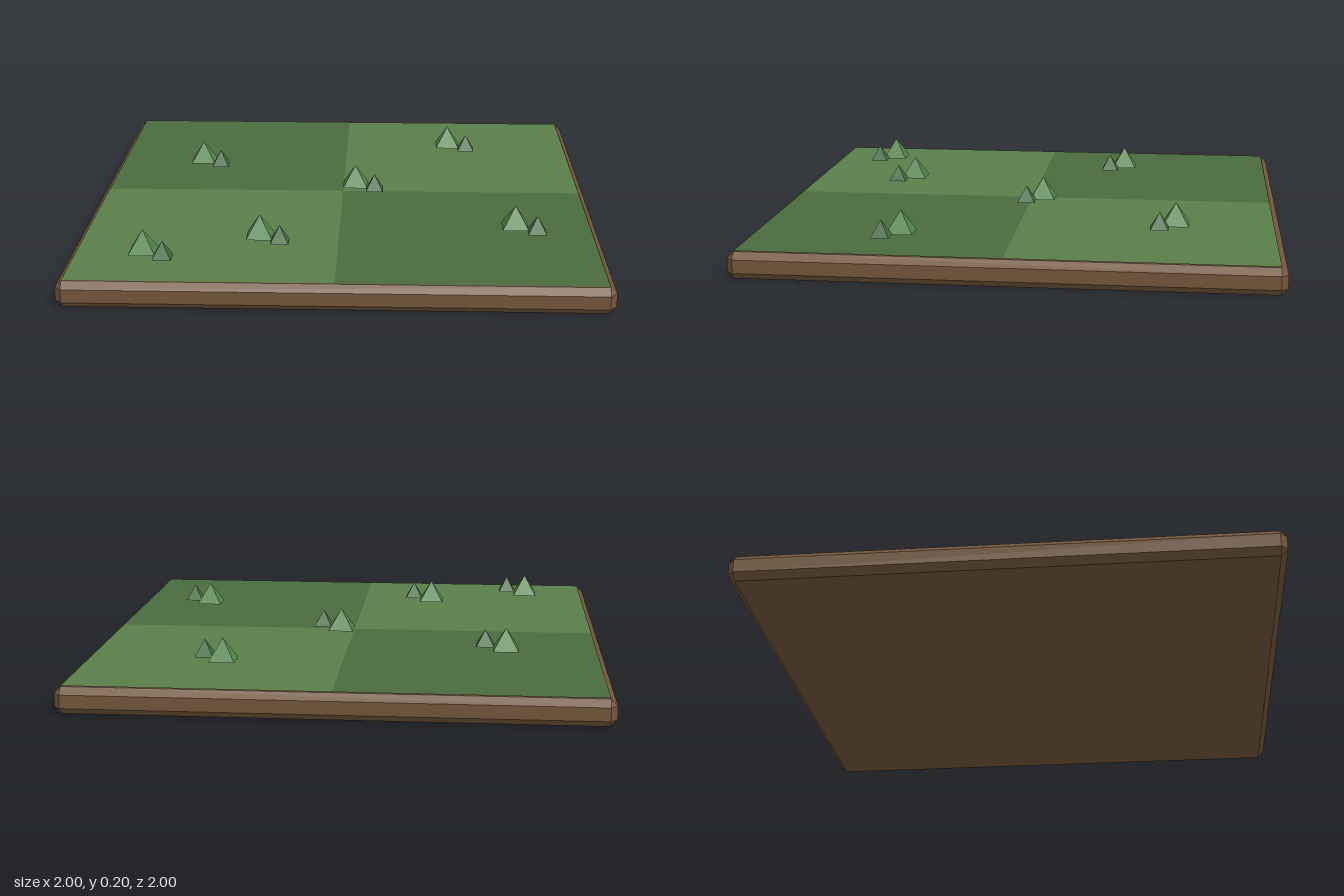
import * as THREE from 'three';
import { ConvexGeometry } from 'three/addons/geometries/ConvexGeometry.js';

const HEIGHT = 0.1;
const CHAMFER = 0.025;

const material = (color) => new THREE.MeshStandardMaterial({ color, flatShading: true });

// Box with every edge and corner cut flat: three points per corner.
function chamferedBox(w, h, d, c) {
  const points = [];
  for (const sx of [-1, 1]) for (const sy of [-1, 1]) for (const sz of [-1, 1]) {
    const x = w / 2, y = h / 2, z = d / 2;
    points.push(
      new THREE.Vector3(sx * x, sy * (y - c), sz * (z - c)),
      new THREE.Vector3(sx * (x - c), sy * y, sz * (z - c)),
      new THREE.Vector3(sx * (x - c), sy * (y - c), sz * z)
    );
  }
  return new ConvexGeometry(points);
}

// Square pyramid with sides along x and z, standing on its base.
function pyramid(halfWidth, height) {
  return new THREE.ConeGeometry(halfWidth * Math.SQRT2, height, 4)
    .rotateY(Math.PI / 4)
    .translate(0, height / 2, 0);
}

export function createModel() {
  const model = new THREE.Group();
  model.name = 'grassTile';

  const add = (parent, name, geometry, mat, x, y, z) => {
    const mesh = new THREE.Mesh(geometry, mat);
    mesh.name = name;
    mesh.position.set(x, y, z);
    parent.add(mesh);
  };

  // Earth slab
  add(model, 'earthSlab', chamferedBox(2, HEIGHT, 2, CHAMFER), material(0x72553a), 0, HEIGHT / 2, 0);

  // Four grass patches in a checker of two greens
  const size = 1 - CHAMFER;
  const patch = new THREE.PlaneGeometry(size, size).rotateX(-Math.PI / 2);
  const lightGrass = material(0x5a7d49);
  const darkGrass = material(0x4a6b3d);
  for (const sx of [-1, 1]) for (const sz of [-1, 1]) {
    add(model, 'grassPatch', patch, sx === sz ? darkGrass : lightGrass, sx * size / 2, HEIGHT + 0.003, sz * size / 2);
  }

  // Grass tufts: a large blade with a smaller one beside it
  const large = pyramid(0.05, 0.085);
  const small = pyramid(0.035, 0.065);
  const largeGreen = material(0x4f8446);
  const smallGreen = material(0x3f6b3c);
  const spots = [
    [0.45, -0.6], [-0.62, -0.35], [0.05, -0.05],
    [0.68, 0.42], [-0.3, 0.55], [-0.72, 0.72]
  ];
  for (const [x, z] of spots) {
    const tuft = new THREE.Group();
    tuft.name = 'grassTuft';
    tuft.position.set(x, 0.115, z);
    add(tuft, 'largeBlade', large, largeGreen, 0, 0, 0);
    add(tuft, 'smallBlade', small, smallGreen, 0.08, 0, 0.06);
    model.add(tuft);
  }

  return model;
}
